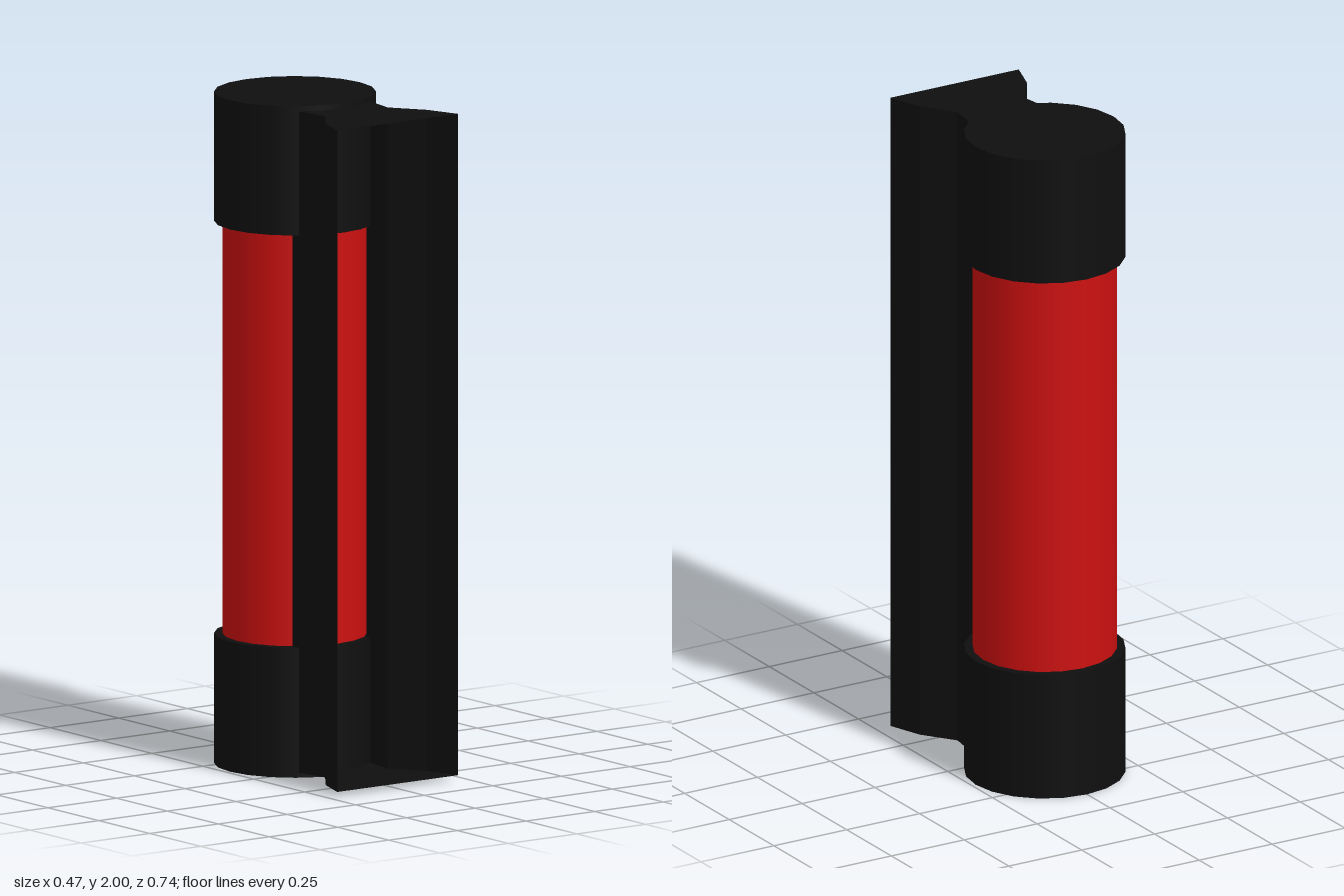
import * as THREE from 'three';

const SIDES = 20;
const AXIS_Z = -0.135; // centre line of the tube

export function createModel() {
  const model = new THREE.Group();
  const black = new THREE.MeshStandardMaterial({ color: 0x0f0f0f });
  const thinBlack = new THREE.MeshStandardMaterial({ color: 0x0f0f0f, side: THREE.DoubleSide, flatShading: true });
  const red = new THREE.MeshStandardMaterial({ color: 0xcc1010 });

  const add = (parent, name, geometry, material) => {
    const mesh = new THREE.Mesh(geometry, material);
    mesh.name = name;
    parent.add(mesh);
    return mesh;
  };
  const cylinder = (name, radius, y0, y1, material) =>
    add(model, name, new THREE.CylinderGeometry(radius, radius, y1 - y0, SIDES), material)
      .position.set(0, (y0 + y1) / 2, AXIS_Z);

  // Red tube with a wider cap on each end
  cylinder('tube', 0.212, 0.2, 1.8, red);
  cylinder('bottomCap', 0.237, 0, 0.387, black);
  cylinder('topCap', 0.237, 1.615, 2, black);

  // Mounting bracket: two flared side walls, closed at the ends, open in front
  const bracket = new THREE.Group();
  bracket.name = 'bracket';
  model.add(bracket);
  const bottom = 0.015, top = 1.985;
  const profile = [[0.134, 0.035], [0.114, 0.167], [0.184, 0.265], [0.22, 0.37]]; // x, z

  const wall = (side) => {
    const positions = [], index = [];
    profile.forEach(([x, z], i) => {
      positions.push(side * x, bottom, z, side * x, top, z);
      if (i === 0) return;
      const a = 2 * i - 2;
      if (side > 0) index.push(a, a + 1, a + 2, a + 1, a + 3, a + 2);
      else index.push(a, a + 2, a + 1, a + 1, a + 2, a + 3);
    });
    const geometry = new THREE.BufferGeometry();
    geometry.setAttribute('position', new THREE.Float32BufferAttribute(positions, 3));
    geometry.setIndex(index);
    geometry.computeVertexNormals();
    return geometry;
  };
  add(bracket, 'leftWall', wall(1), thinBlack);
  add(bracket, 'rightWall', wall(-1), thinBlack);

  // End plates, outlined by the profile and its mirror image
  const outline = [
    ...profile.map(([x, z]) => new THREE.Vector2(x, z)),
    ...profile.map(([x, z]) => new THREE.Vector2(-x, z)).reverse(),
  ];
  for (const [name, y, turn] of [['topPlate', top, -1], ['bottomPlate', bottom, 1]]) {
    const points = outline.map((p) => new THREE.Vector2(p.x, turn * p.y));
    const geometry = new THREE.ShapeGeometry(new THREE.Shape(points));
    geometry.rotateX(turn * Math.PI / 2);
    add(bracket, name, geometry, thinBlack).position.y = y;
  }

  return model;
}
